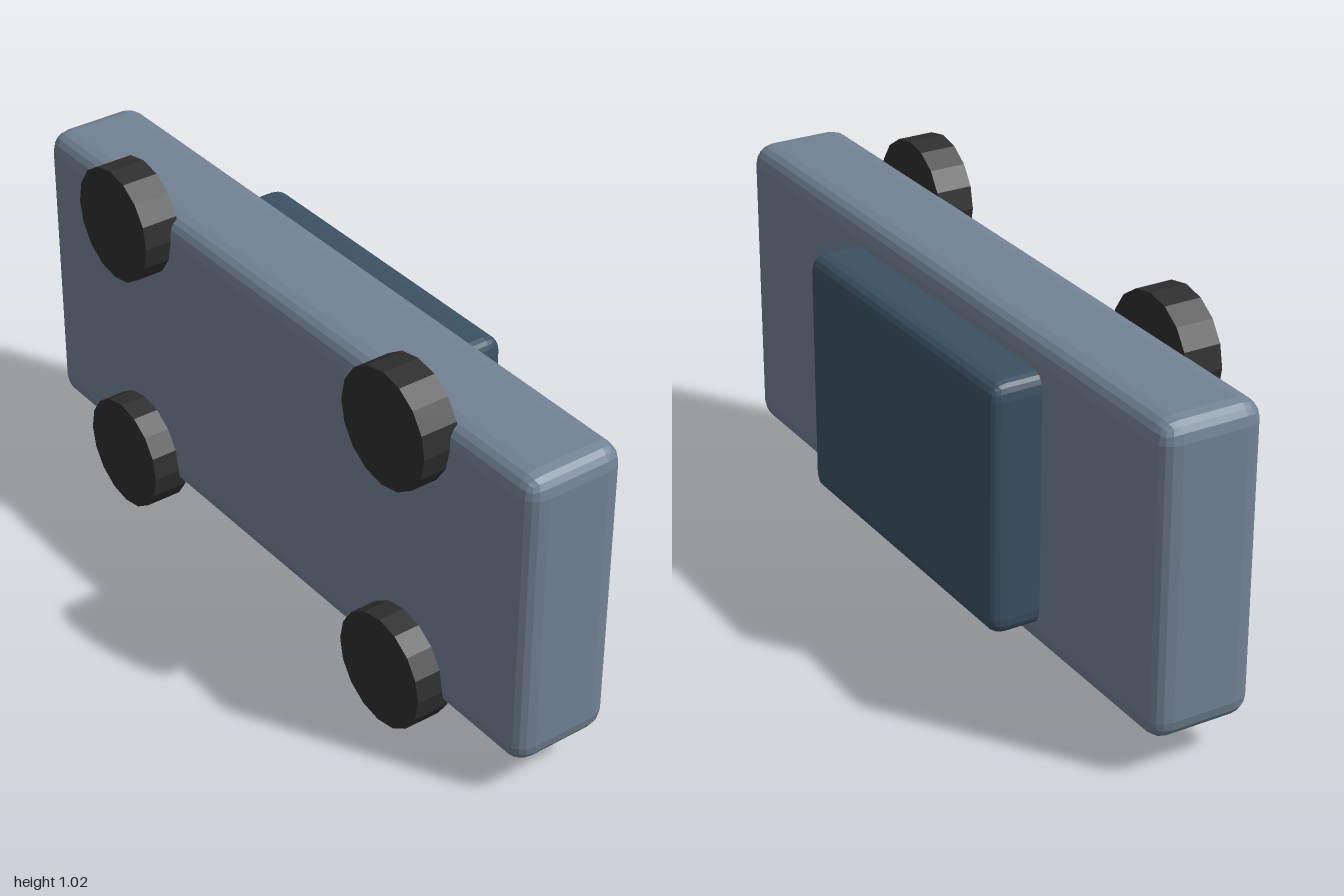
import * as THREE from 'three';
import { RoundedBoxGeometry } from 'three/addons/geometries/RoundedBoxGeometry.js';

function material(name, color) {
  const m = new THREE.MeshStandardMaterial({ color, flatShading: true });
  m.name = name;
  return m;
}

// Box with two-step bevelled edges, given by its min and max corners;
// bevelX is the bevel's reach along x, bevel its reach along y and z
function bevelledBox(name, min, max, bevel, bevelX, mat) {
  const [w, h, d] = max.map((v, i) => v - min[i]);
  const stretch = bevelX / bevel;
  const geometry = new RoundedBoxGeometry(w / stretch, h, d, 2, bevel);
  geometry.scale(stretch, 1, 1);
  const mesh = new THREE.Mesh(geometry, mat);
  mesh.name = name;
  mesh.position.set(...max.map((v, i) => (v + min[i]) / 2));
  return mesh;
}

export function createModel() {
  const car = new THREE.Group();
  car.name = 'toyCar';
  const paint = material('slate body', 0x728294);
  const dark = material('dark blue cabin', 0x3b5162);
  const rubber = material('black rubber', 0x2e2e2e);

  // The car rests on its side, with its underside facing +z
  car.add(bevelledBox('body', [-1, 0.1, -0.11], [1, 0.925, 0.172], 0.055, 0.05, paint));
  car.add(bevelledBox('cabin', [-0.505, 0.175, -0.245], [0.407, 0.847, -0.02], 0.045, 0.028, dark));

  // Four wheels on the underside
  const wheelGeometry = new THREE.CylinderGeometry(0.155, 0.155, 0.1, 16);
  wheelGeometry.rotateX(Math.PI / 2);
  for (const x of [-0.563, 0.563]) {
    for (const y of [0.155, 0.865]) {
      const wheel = new THREE.Mesh(wheelGeometry, rubber);
      wheel.name = 'wheel';
      wheel.position.set(x, y, 0.195);
      car.add(wheel);
    }
  }
  return car;
}
